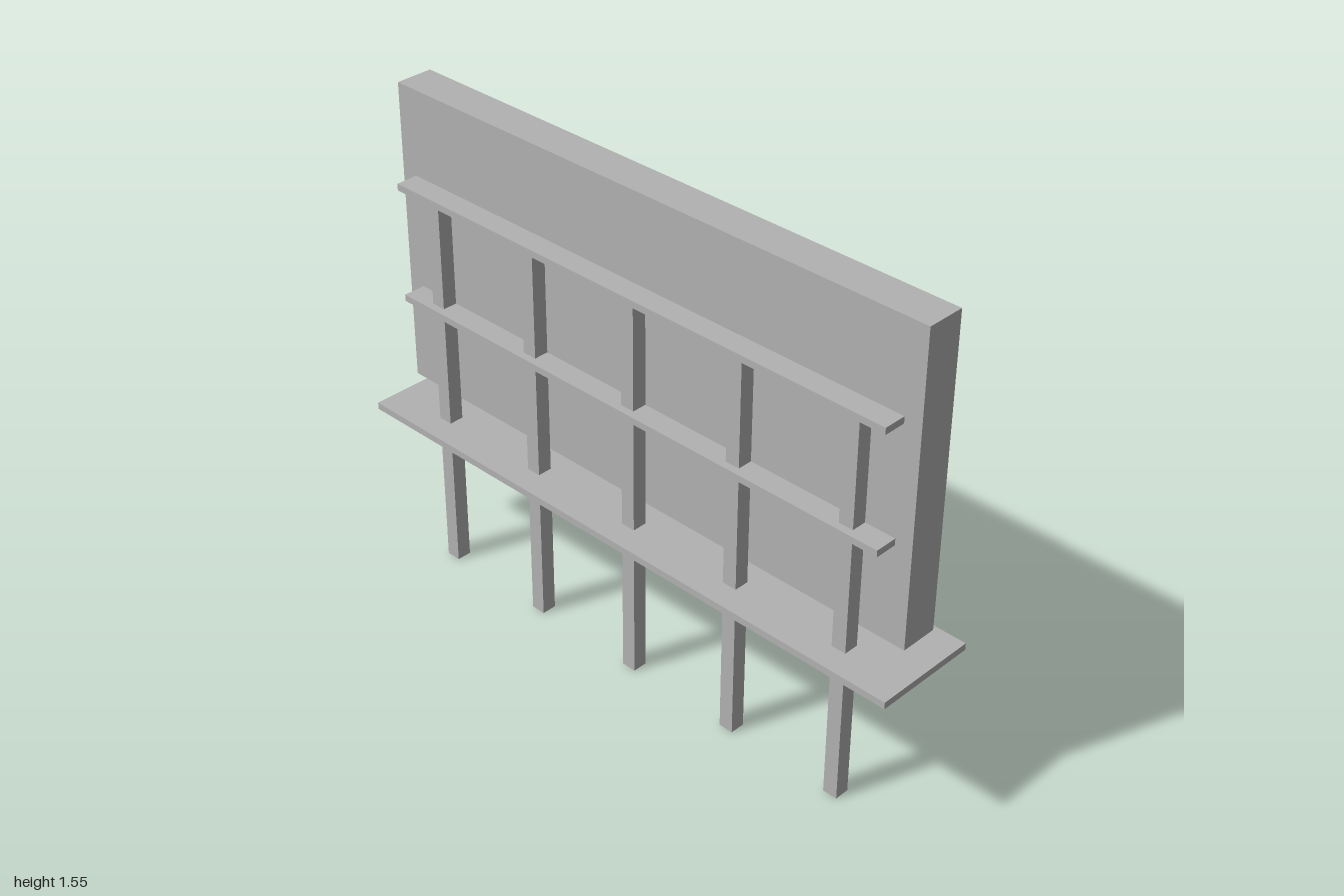
import * as THREE from 'three';

export function createModel() {
  const model = new THREE.Group();
  const grey = new THREE.MeshStandardMaterial({ color: 0xb2b2b2, flatShading: true, side: THREE.DoubleSide });
  grey.name = 'plain grey';

  function add(name, geometry) {
    const mesh = new THREE.Mesh(geometry, grey);
    mesh.name = name;
    model.add(mesh);
    return mesh;
  }
  // Box given by its limits on each axis
  function box(name, x0, x1, y0, y1, z0, z1) {
    const mesh = add(name, new THREE.BoxGeometry(x1 - x0, y1 - y0, z1 - z0));
    mesh.position.set((x0 + x1) / 2, (y0 + y1) / 2, (z0 + z1) / 2);
  }

  // Panel body behind the grooved face
  const bottom = 0.582, top = 1.552, half = 0.955, depth = 0.02, faceX = 0.078;
  box('panelBody', -0.041, faceX - depth, bottom, top, -half, half);

  // Face plate: slats hang from the top, separated by thin slits
  // that meet a groove along the bottom and wider slots at both ends
  const face = new THREE.Shape();
  face.moveTo(-half, bottom).lineTo(half, bottom).lineTo(half, top).lineTo(-half, top).closePath();
  const outer = 0.924, inner = 0.897, low = 0.622, lip = 0.631, high = 1.52, r = 0.012;
  const slats = 19, pitch = 2 * inner / slats, slit = 0.003;
  const groove = new THREE.Path();
  groove.moveTo(-outer, low).lineTo(outer, low).lineTo(outer, high - r);
  groove.quadraticCurveTo(outer, high, outer - r, high).lineTo(inner + r, high);
  groove.quadraticCurveTo(inner, high, inner, high - r).lineTo(inner, lip);
  for (let i = 1; i < slats; i++) {
    const s = inner - i * pitch;
    groove.lineTo(s + slit, lip).lineTo(s + slit, high).lineTo(s - slit, high).lineTo(s - slit, lip);
  }
  groove.lineTo(-inner, lip).lineTo(-inner, high - r);
  groove.quadraticCurveTo(-inner, high, -inner - r, high).lineTo(-outer + r, high);
  groove.quadraticCurveTo(-outer, high, -outer, high - r).closePath();
  face.holes.push(groove);
  const plate = new THREE.ExtrudeGeometry(face, { depth, bevelEnabled: false, curveSegments: 4 });
  plate.rotateY(Math.PI / 2);
  add('slattedFace', plate).position.x = faceX - depth;

  // Walkway
  box('walkway', -0.167, 0.167, 0.489, 0.511, -1, 1);

  // Rails behind the panel
  for (const y of [0.89, 1.256]) box('backRail', -0.112, -0.041, y, y + 0.021, -0.9, 0.9);

  // Square posts, open at the ends
  const width = 0.047, height = 1.256;
  for (let i = -2; i <= 2; i++) {
    const tube = new THREE.CylinderGeometry(width / Math.SQRT2, width / Math.SQRT2, height, 4, 1, true, Math.PI / 4);
    add('post', tube).position.set(-0.0645, height / 2, i * 0.389);
  }
  return model;
}
